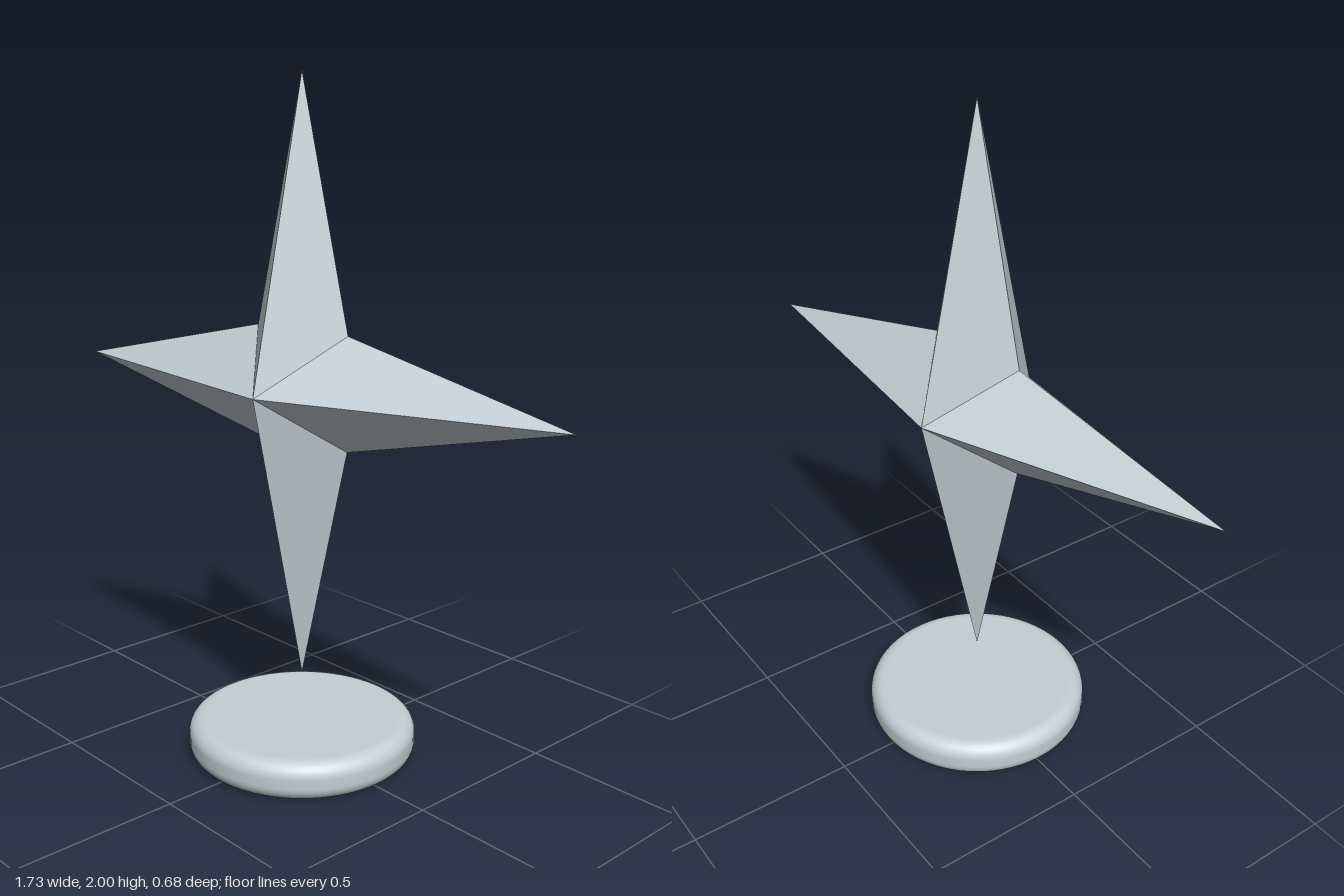
import * as THREE from 'three';

export function createModel() {
  const model = new THREE.Group();
  const silver = new THREE.MeshStandardMaterial({ color: 0xc4ced4 });
  silver.name = 'paleSilver';

  // Four-pointed faceted star: an outline of tips and notches joined to a front and a back apex
  const tip = 0.874, notch = 0.233, depth = 0.21;
  const outline = [];
  for (let i = 0; i < 8; i++) {
    const a = (i * Math.PI) / 4;
    const r = i % 2 ? notch : tip;
    outline.push([r * Math.cos(a), r * Math.sin(a), 0]);
  }
  const corners = [];
  outline.forEach((p, i) => {
    const q = outline[(i + 1) % 8];
    corners.push(...p, ...q, 0, 0, depth);
    corners.push(...q, ...p, 0, 0, -depth);
  });
  const starGeometry = new THREE.BufferGeometry();
  starGeometry.setAttribute('position', new THREE.Float32BufferAttribute(corners, 3));
  starGeometry.computeVertexNormals(); // unshared corners keep the facets flat
  const star = new THREE.Mesh(starGeometry, silver);
  star.name = 'star';
  star.position.y = 1.126;
  star.rotation.y = THREE.MathUtils.degToRad(8);
  model.add(star);

  // Round base disc with a softly rounded rim
  const radius = 0.34, bottom = 0.003, top = 0.119, round = 0.045;
  const profile = [new THREE.Vector2(0, bottom), new THREE.Vector2(radius - round - 0.002, bottom)];
  const addArc = (cy, start) => {
    for (let i = 0; i <= 8; i++) {
      const a = start + (i / 8) * (Math.PI / 2);
      profile.push(new THREE.Vector2(radius - round + round * Math.cos(a), cy + round * Math.sin(a)));
    }
  };
  addArc(bottom + round, -Math.PI / 2);
  addArc(top - round, 0);
  profile.push(new THREE.Vector2(radius - round - 0.002, top), new THREE.Vector2(0, top));
  const base = new THREE.Mesh(new THREE.LatheGeometry(profile, 64), silver);
  base.name = 'base';
  model.add(base);

  return model;
}
